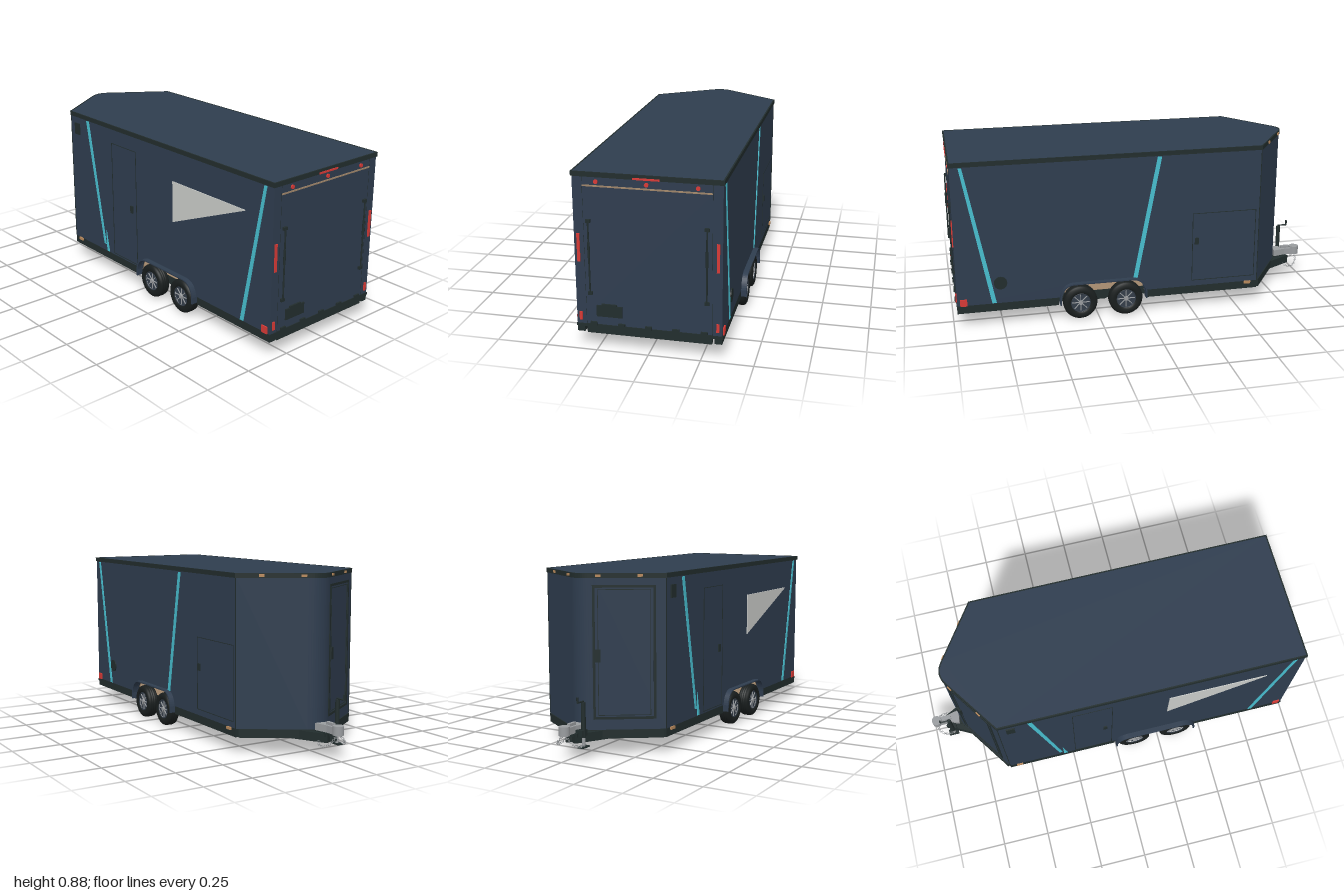
import * as THREE from 'three';

const mat = (name, color) => new THREE.MeshStandardMaterial({ name, color });
const M = {
  body: mat('navy', 0x2f3d4f), trim: mat('black trim', 0x222d2d), cyan: mat('cyan stripe', 0x48bfd0),
  red: mat('red lamp', 0xd83a36), tan: mat('plywood', 0xa0866a), amber: mat('amber lamp', 0xb8895c),
  metal: mat('grey metal', 0x9a9da0), tyre: mat('tyre', 0x191e1e), rim: mat('dark rim', 0x343e4a),
  pale: mat('pale panel', 0xcbcdca),
};
const W = 0.348, REAR = 0.98, NOSE = -0.62, FLOOR = 0.125, TOP = 0.86;

export function createModel() {
  const root = new THREE.Group();
  root.name = 'enclosedTrailer';

  const add = (name, geo, m, x = 0, y = 0, z = 0, parent = root) => {
    const mesh = new THREE.Mesh(geo, m);
    mesh.name = name;
    mesh.position.set(x, y, z);
    parent.add(mesh);
    return mesh;
  };
  const box = (name, m, x, y, z, w, h, d, parent) => add(name, new THREE.BoxGeometry(w, h, d), m, x, y, z, parent);
  const cyl = (name, m, x, y, z, r, len, axis = 'y', parent = root) => {
    const g = new THREE.CylinderGeometry(r, r, len, 20);
    if (axis === 'x') g.rotateZ(Math.PI / 2);
    if (axis === 'z') g.rotateX(Math.PI / 2);
    return add(name, g, m, x, y, z, parent);
  };
  const extrude = (shape, depth) => new THREE.ExtrudeGeometry(shape, { depth, bevelEnabled: false, curveSegments: 12 });
  const poly = (pts) => new THREE.Shape(pts.map((p) => new THREE.Vector2(p[0], p[1])));
  // horizontal slab cut from a plan shape
  const slab = (name, shape, m, y0, y1) => add(name, extrude(shape, y1 - y0).rotateX(-Math.PI / 2), m, 0, y0, 0);
  // beam between two plan points (x, z)
  const beam = (name, m, a, b, y, w, h) => {
    const dx = b[0] - a[0], dz = b[1] - a[1];
    const o = box(name, m, (a[0] + b[0]) / 2, y, (a[1] + b[1]) / 2, Math.hypot(dx, dz), h, w);
    o.rotation.y = -Math.atan2(dz, dx);
  };
  // thin flat shape on a side wall, s = +1 or -1
  const decal = (name, m, pts, s) => add(name, extrude(poly(pts), 0.004), m, 0, 0, s > 0 ? W : -W - 0.004);
  // thin rectangular outline
  const outline = (name, x0, x1, y0, y1, z, t, parent) => {
    for (const x of [x0, x1]) box(name, M.trim, x, (y0 + y1) / 2, z, t, y1 - y0 + t, 0.004, parent);
    for (const y of [y0, y1]) box(name, M.trim, (x0 + x1) / 2, y, z, x1 - x0, t, 0.004, parent);
  };

  // plan of the body with a rounded V nose, grown by o
  const plan = (o = 0, notch = false) => {
    const s = new THREE.Shape(), w = W + o, r = REAR + o, n = NOSE - o * 0.5;
    s.moveTo(n, -w);
    if (notch) s.lineTo(-0.01, -w).lineTo(-0.01, -0.295).lineTo(0.46, -0.295).lineTo(0.46, -w);
    s.lineTo(r, -w).lineTo(r, w);
    if (notch) s.lineTo(0.46, w).lineTo(0.46, 0.295).lineTo(-0.01, 0.295).lineTo(-0.01, w);
    s.lineTo(n, w).lineTo(-0.815 - o, 0.063);
    s.quadraticCurveTo(-0.862 - o, 0, -0.815 - o, -0.063);
    s.closePath();
    return s;
  };

  // roof, roof trim and floor
  slab('roof', plan(-0.002), M.body, TOP, 0.876);
  const ring = plan(0.005);
  ring.holes.push(plan(-0.002));
  slab('roofTrim', ring, M.trim, 0.854, 0.877);
  slab('floor', plan(-0.012, true), M.tan, 0.113, 0.128);

  // side walls with wheel openings, and plywood lining
  const wall = (x0, x1) => {
    const s = new THREE.Shape();
    s.moveTo(x0, FLOOR).lineTo(0.005, FLOOR);
    s.quadraticCurveTo(0.015, 0.198, 0.075, 0.198).lineTo(0.375, 0.198);
    s.quadraticCurveTo(0.435, 0.198, 0.445, FLOOR);
    s.lineTo(x1, FLOOR).lineTo(x1, TOP).lineTo(x0, TOP).closePath();
    return s;
  };
  for (const s of [1, -1]) {
    add('sideWall', extrude(wall(NOSE, REAR), 0.01), M.body, 0, 0, s > 0 ? W - 0.01 : -W);
    add('sideLining', extrude(wall(NOSE, REAR - 0.015), 0.004), M.tan, 0, 0, s > 0 ? W - 0.014 : -W + 0.01);
  }
  box('rearDoor', M.body, REAR - 0.006, (FLOOR + TOP) / 2, 0, 0.012, TOP - FLOOR, 2 * W - 0.002);

  // V nose wall, smooth across its rounded tip
  const outer = new THREE.Shape();
  outer.moveTo(NOSE, W).lineTo(-0.815, 0.063).quadraticCurveTo(-0.862, 0, -0.815, -0.063).lineTo(NOSE, -W);
  outer.lineTo(NOSE, -W + 0.015).lineTo(-0.80, -0.058).quadraticCurveTo(-0.85, 0, -0.80, 0.058).lineTo(NOSE, W - 0.015);
  slab('noseWall', outer, M.body, FLOOR, TOP);

  // nose panels: door on the front-facing side, marker lamps on both
  for (const s of [1, -1]) {
    const g = new THREE.Group();
    g.name = 'nosePanel';
    g.position.set(-0.7175, 0, s * 0.2055);
    g.rotation.y = s > 0 ? -0.974 : Math.PI + 0.974;
    root.add(g);
    for (const x of [-0.15, 0.05]) box('noseMarker', M.amber, s * x, 0.866, 0.006, 0.026, 0.012, 0.008, g);
    if (s > 0) {
      outline('noseDoorFrame', -0.172, 0.118, 0.182, 0.815, 0.002, 0.012, g);
      outline('noseDoorSeal', -0.152, 0.098, 0.196, 0.8, 0.001, 0.003, g);
      box('noseDoorHandle', M.trim, -0.155, 0.485, 0.006, 0.03, 0.06, 0.012, g);
    }
    box('noseCornerTrim', M.trim, NOSE, (FLOOR + TOP) / 2, s * W, 0.004, TOP - FLOOR, 0.003);
  }

  // stripes and pale wedge
  const rearStripe = [[0.78, 0.128], [0.803, 0.128], [0.937, 0.85], [0.92, 0.85]];
  decal('rearStripe', M.cyan, rearStripe, 1);
  decal('rearStripe', M.cyan, rearStripe, -1);
  decal('frontStripe', M.cyan, [[-0.332, 0.165], [-0.316, 0.165], [-0.448, 0.85], [-0.47, 0.85]], 1);
  decal('frontStripeTip', M.cyan, [[-0.307, 0.128], [-0.286, 0.128], [-0.311, 0.25]], 1);
  decal('middleStripe', M.cyan, [[0.042, 0.2], [0.065, 0.2], [-0.062, 0.85], [-0.084, 0.85]], -1);
  decal('paleWedge', M.pale, [[0.275, 0.478], [0.80, 0.694], [0.80, 0.697], [0.275, 0.697]], 1);

  // side doors, vent, port and side lamps
  outline('sideDoorSeam', -0.24, -0.03, 0.135, 0.775, W, 0.003);
  outline('hatchSeam', -0.6, -0.255, 0.157, 0.53, -W, 0.003);
  box('sideDoorHandle', M.trim, -0.068, 0.445, W + 0.003, 0.02, 0.04, 0.008);
  box('hatchHandle', M.trim, -0.277, 0.378, -W - 0.003, 0.02, 0.036, 0.008);
  box('vent', M.trim, -0.558, 0.787, W + 0.003, 0.044, 0.064, 0.008);
  cyl('port', M.trim, 0.757, 0.235, -W - 0.002, 0.034, 0.008, 'z');
  for (const s of [1, -1]) {
    box('sideRedLamp', M.red, 0.947, 0.142, s * (W + 0.003), 0.036, 0.036, 0.008);
    box('sideAmberLamp', M.amber, -0.565, 0.119, s * (W + 0.004), 0.036, 0.014, 0.008);
  }

  // rear door furniture
  box('topLightBar', M.red, REAR + 0.005, 0.859, 0, 0.008, 0.009, 0.124);
  box('rearTanStrip', M.tan, REAR + 0.001, 0.812, 0, 0.006, 0.007, 0.6);
  for (const z of [-0.235, 0, 0.235]) cyl('roundLamp', M.red, REAR + 0.003, 0.833, z, 0.01, 0.008, 'x');
  for (const z of [-0.265, -0.13, 0, 0.13, 0.265]) box('hinge', M.trim, REAR + 0.003, 0.131, z, 0.012, 0.018, 0.032);
  box('doorSill', M.trim, REAR + 0.001, 0.125, 0, 0.006, 0.004, 0.6);
  box('plateHolder', M.trim, REAR + 0.003, 0.198, 0.188, 0.008, 0.056, 0.124);
  box('plateLamp', M.trim, REAR + 0.004, 0.229, 0.188, 0.01, 0.012, 0.074);
  for (const s of [1, -1]) {
    box('tailStrip', M.red, REAR + 0.002, 0.51, s * 0.328, 0.008, 0.138, 0.014);
    box('tailLamp', M.red, REAR + 0.002, 0.165, s * 0.328, 0.008, 0.042, 0.014);
    box('doorSeam', M.trim, REAR, (FLOOR + TOP) / 2, s * 0.301, 0.002, TOP - FLOOR, 0.001);
    cyl('lockRod', M.trim, REAR + 0.009, 0.467, s * 0.277, 0.004, 0.36, 'y');
    cyl('lockSleeve', M.trim, REAR + 0.009, 0.503, s * 0.277, 0.006, 0.075, 'y');
    for (const y of [0.286, 0.644]) box('rodBracket', M.trim, REAR + 0.005, y, s * 0.277, 0.014, 0.015, 0.022);
  }

  // chassis
  for (const s of [1, -1]) {
    beam('sideRail', M.trim, [NOSE, s * 0.33], [-0.01, s * 0.33], 0.104, 0.036, 0.042);
    beam('sideRail', M.trim, [0.46, s * 0.33], [REAR, s * 0.33], 0.104, 0.036, 0.042);
    beam('innerRail', M.trim, [-0.02, s * 0.282], [0.48, s * 0.282], 0.104, 0.028, 0.046);
    beam('noseRail', M.trim, [NOSE, s * 0.332], [-0.83, s * 0.022], 0.104, 0.03, 0.042);
    beam('tongueBeam', M.trim, [-0.38, s * 0.3], [-0.92, s * 0.014], 0.1, 0.032, 0.044);
    box('springHanger', M.trim, 0.225, 0.073, s * 0.262, 0.06, 0.02, 0.018);
  }
  for (let i = 0; i < 9; i++) box('crossMember', M.trim, -0.58 + i * 0.18, 0.1, 0, 0.026, 0.034, i > 2 && i < 7 ? 0.55 : 0.64);
  box('rearSill', M.trim, REAR - 0.012, 0.117, 0, 0.028, 0.014, 0.704);
  box('rearBumper', M.trim, REAR - 0.015, 0.096, 0, 0.03, 0.034, 0.6);

  // fenders
  const arch = new THREE.Shape();
  arch.moveTo(-0.006, 0.09).lineTo(-0.006, 0.125).quadraticCurveTo(0.005, 0.203, 0.075, 0.203);
  arch.lineTo(0.375, 0.203).quadraticCurveTo(0.445, 0.203, 0.456, 0.125).lineTo(0.456, 0.09);
  arch.lineTo(0.449, 0.09).lineTo(0.449, 0.125).quadraticCurveTo(0.437, 0.197, 0.375, 0.197);
  arch.lineTo(0.075, 0.197).quadraticCurveTo(0.013, 0.197, 0.001, 0.125).lineTo(0.001, 0.09).closePath();
  for (const s of [1, -1]) add('fender', extrude(arch, 0.035), M.body, 0, 0, s > 0 ? 0.341 : -0.376);

  // wheels
  const tyrePts = [[0.052, -0.026], [0.06, -0.031], [0.076, -0.031], [0.087, -0.024], [0.09, -0.014], [0.086, -0.012],
    [0.09, -0.01], [0.09, -0.002], [0.086, 0], [0.09, 0.002], [0.09, 0.01], [0.086, 0.012], [0.09, 0.014],
    [0.087, 0.024], [0.076, 0.031], [0.06, 0.031], [0.052, 0.026]].map((p) => new THREE.Vector2(p[0], p[1]));
  for (const s of [1, -1]) for (const x of [0.105, 0.347]) {
    const wheel = new THREE.Group();
    wheel.name = 'wheel';
    wheel.position.set(x, 0.09, s * 0.334);
    if (s < 0) wheel.rotation.y = Math.PI;
    root.add(wheel);
    add('tyre', new THREE.LatheGeometry(tyrePts, 40).rotateX(Math.PI / 2), M.tyre, 0, 0, 0, wheel);
    cyl('rimDisc', M.rim, 0, 0, -0.004, 0.053, 0.044, 'z', wheel);
    add('rimRing', new THREE.TorusGeometry(0.05, 0.0025, 6, 32), M.rim, 0, 0, 0.025, wheel);
    for (let i = 0; i < 8; i++) {
      const a = (i * Math.PI) / 4;
      box('spoke', M.metal, Math.cos(a) * 0.029, Math.sin(a) * 0.029, 0.02, 0.036, 0.004, 0.005, wheel).rotation.z = a;
    }
    cyl('hub', M.metal, 0, 0, 0.02, 0.011, 0.02, 'z', wheel);
    cyl('axleStub', M.trim, 0, 0, -0.045, 0.014, 0.05, 'z', wheel);
  }

  // coupler
  slab('coupler', poly([[-0.96, -0.02], [-0.91, -0.02], [-0.85, -0.036], [-0.84, 0.036], [-0.91, 0.02], [-0.96, 0.02]]), M.metal, 0.125, 0.16);
  cyl('couplerSocket', M.metal, -0.973, 0.146, 0, 0.027, 0.045);
  box('couplerLatch', M.metal, -0.915, 0.167, 0, 0.05, 0.014, 0.016);
  box('tonguePlate', M.trim, -0.87, 0.116, 0, 0.1, 0.018, 0.07);

  // jack with crank
  cyl('jackTube', M.trim, -0.895, 0.19, 0.055, 0.011, 0.17);
  cyl('jackLeg', M.metal, -0.895, 0.09, 0.055, 0.008, 0.06);
  box('jackFoot', M.trim, -0.897, 0.06, 0.055, 0.055, 0.006, 0.034);
  box('jackBracket', M.trim, -0.89, 0.125, 0.04, 0.04, 0.03, 0.04);
  cyl('crankArm', M.trim, -0.917, 0.28, 0.055, 0.004, 0.05, 'x');
  cyl('crankGrip', M.trim, -0.942, 0.292, 0.055, 0.005, 0.028);

  // safety chains made of alternating links
  for (const s of [1, -1]) {
    const path = new THREE.CatmullRomCurve3([[-0.88, 0.11, 0.03], [-0.9, 0.075, 0.058], [-0.935, 0.068, 0.062],
      [-0.97, 0.09, 0.04], [-0.975, 0.12, 0.01]].map((p) => new THREE.Vector3(p[0], p[1], p[2] * s)));
    for (let i = 0; i <= 14; i++) {
      const link = add('chainLink', new THREE.TorusGeometry(0.006, 0.0014, 5, 10), M.metal);
      link.position.copy(path.getPointAt(i / 14));
      link.rotation.set((i % 2) * Math.PI / 2, 0.4, 0);
    }
  }
  return root;
}
